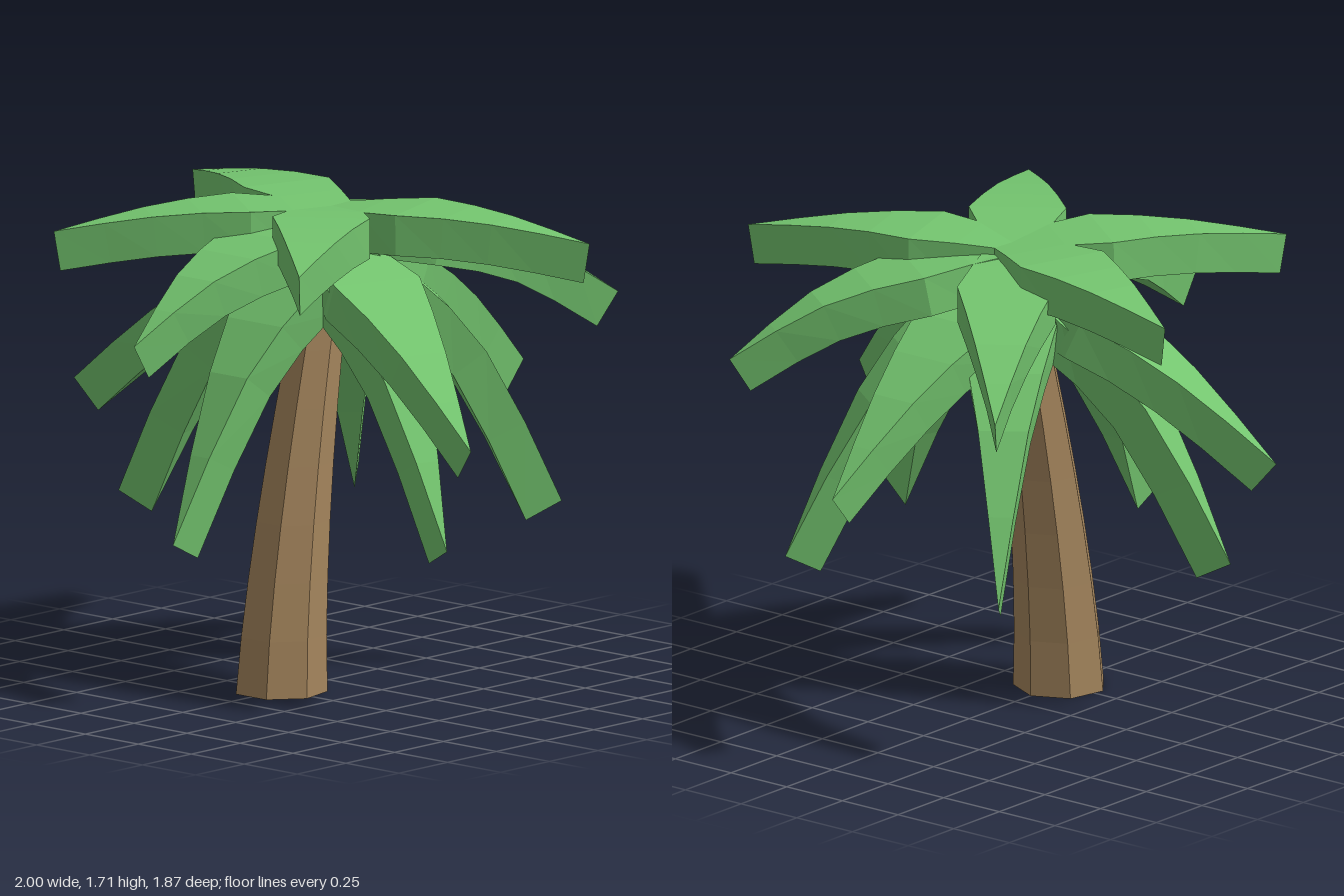
import * as THREE from 'three';

const CROWN_X = 0.015;
const THICKNESS = 0.143;
const HALF_WIDTHS = [0.085, 0.17, 0.088, 0]; // base, shoulder, middle, tip

// Ridge of each frond kind as [distance from crown, height], and its directions in degrees
const FRONDS = [
  { name: 'topFrond', ridge: [[0, 1.68], [0.32, 1.705], [0.65, 1.685], [0.985, 1.63]], angles: [72, 144, -144, -72] },
  { name: 'upperFrond', ridge: [[0, 1.665], [0.36, 1.63], [0.7, 1.53], [1.015, 1.335]], angles: [36, 180, -36] },
  { name: 'middleFrond', ridge: [[0, 1.575], [0.32, 1.47], [0.65, 1.27], [0.985, 0.985]], angles: [0, 108, -108] },
  { name: 'lowerFrond', ridge: [[0, 1.6], [0.25, 1.46], [0.53, 1.16], [0.815, 0.6]], angles: [36, 108, 180, -108, -36] },
];

// Thick arched blade along +x, tapering to a vertical edge at the tip
function frondGeometry(ridge) {
  const curve = new THREE.CatmullRomCurve3(ridge.map(([r, y]) => new THREE.Vector3(r, y, 0)));
  const steps = 6;
  const rings = [];
  for (let i = 0; i <= steps; i++) {
    const t = i / steps;
    const s = Math.min(Math.floor(t * 3 + 1e-6), 2);
    const w = THREE.MathUtils.lerp(HALF_WIDTHS[s], HALF_WIDTHS[s + 1], t * 3 - s);
    const p = curve.getPoint(t);
    const d = curve.getTangent(t);
    const bx = p.x + d.y * THICKNESS;
    const by = p.y - d.x * THICKNESS;
    rings.push([[p.x, p.y, -w], [p.x, p.y, w], [bx, by, w], [bx, by, -w]]);
  }
  const positions = [];
  const quad = (a, b, c, d) => positions.push(...a, ...b, ...c, ...a, ...c, ...d);
  for (let i = 0; i < steps; i++) {
    for (let k = 0; k < 4; k++) {
      const n = (k + 1) % 4;
      quad(rings[i][k], rings[i][n], rings[i + 1][n], rings[i + 1][k]);
    }
  }
  const [a, b, c, d] = rings[0];
  quad(a, d, c, b);
  const geometry = new THREE.BufferGeometry();
  geometry.setAttribute('position', new THREE.Float32BufferAttribute(positions, 3));
  geometry.computeVertexNormals();
  return geometry;
}

// Seven-sided tapering trunk that leans towards +x as it rises
function trunkGeometry() {
  const height = 1.6;
  const geometry = new THREE.CylinderGeometry(0.08, 0.165, height, 7, 8).toNonIndexed();
  geometry.rotateY(Math.PI / 2);
  geometry.translate(0, height / 2, 0);
  const pos = geometry.attributes.position;
  for (let i = 0; i < pos.count; i++) {
    const y = Math.max(pos.getY(i), 0);
    pos.setX(i, pos.getX(i) - 0.25 + 0.131 * Math.pow(y, 1.5));
  }
  geometry.computeVertexNormals();
  return geometry;
}

export function createModel() {
  const leafGreen = new THREE.MeshStandardMaterial({ color: 0x73c46e, flatShading: true });
  leafGreen.name = 'leafGreen';
  const barkBrown = new THREE.MeshStandardMaterial({ color: 0xa3845c, flatShading: true });
  barkBrown.name = 'barkBrown';

  const model = new THREE.Group();
  model.name = 'palmTree';

  const trunk = new THREE.Mesh(trunkGeometry(), barkBrown);
  trunk.name = 'trunk';
  model.add(trunk);

  // Crown of fronds radiating from the top of the trunk
  const crown = new THREE.Group();
  crown.name = 'crown';
  crown.position.x = CROWN_X;
  for (const { name, ridge, angles } of FRONDS) {
    const geometry = frondGeometry(ridge);
    angles.forEach((angle, i) => {
      const frond = new THREE.Mesh(geometry, leafGreen);
      frond.name = name + (i + 1);
      frond.rotation.y = THREE.MathUtils.degToRad(angle);
      crown.add(frond);
    });
  }
  model.add(crown);
  return model;
}
